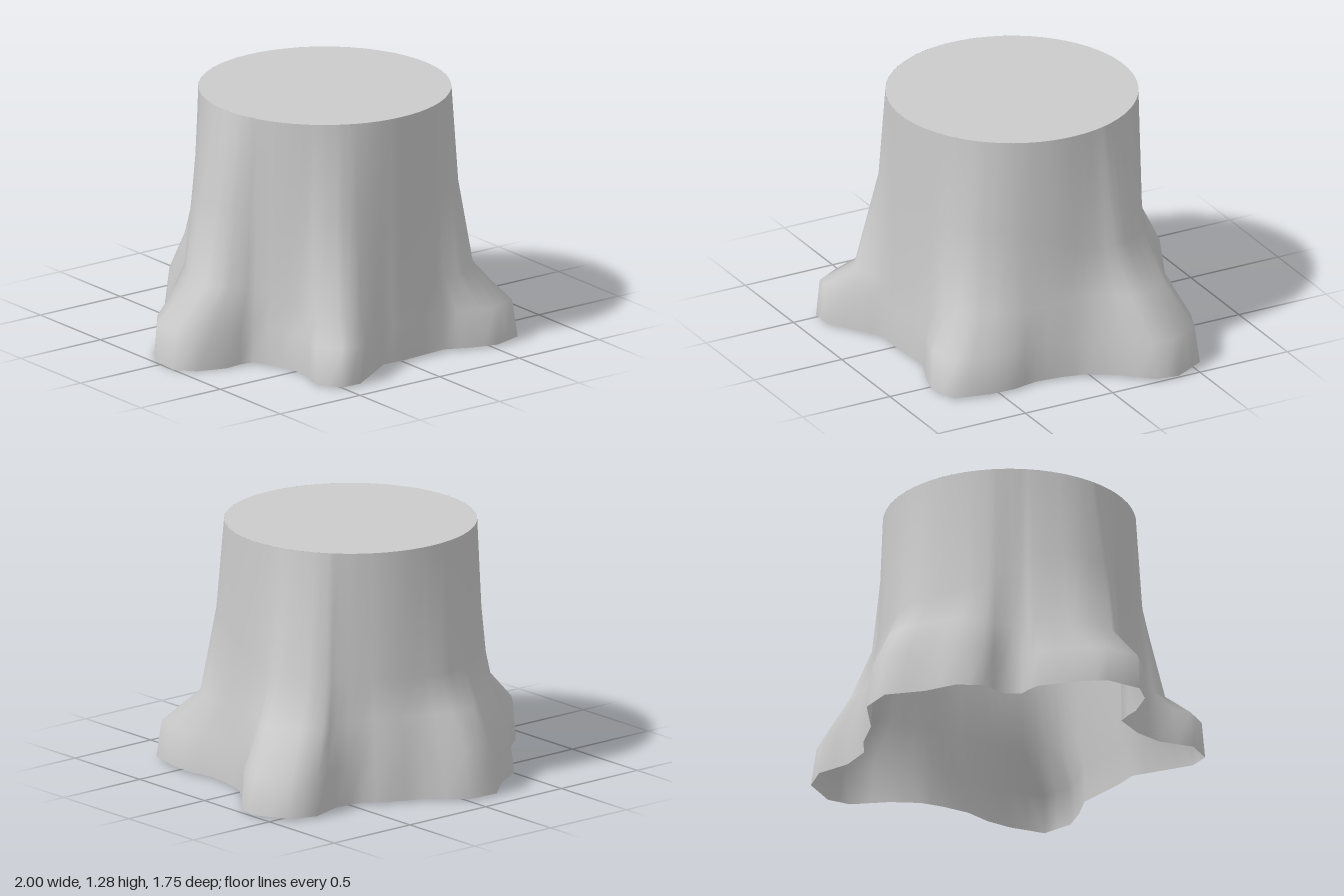
import * as THREE from 'three';

const TOP_Y = 1.28, RADIUS = 0.635, CX = 0.01, CZ = 0.03;

// Ground outline [x, z], counterclockwise from the front
const OUTLINE = [
  [0, 0.70], [0.27, 0.68], [0.40, 0.74], [0.53, 0.78], [0.69, 0.735], [0.735, 0.55], [0.74, 0.42],
  [0.715, 0.28], [0.73, 0.14], [0.76, 0.02], [0.84, -0.11], [0.98, -0.26], [1.0, -0.38], [0.91, -0.55],
  [0.77, -0.60], [0.60, -0.545], [0.44, -0.56], [0.33, -0.64], [0.17, -0.71], [-0.01, -0.865],
  [-0.18, -0.875], [-0.33, -0.74], [-0.485, -0.655], [-0.56, -0.54], [-0.54, -0.40], [-0.59, -0.325],
  [-0.73, -0.32], [-0.90, -0.18], [-0.985, -0.07], [-1.0, 0.11], [-0.92, 0.20], [-0.77, 0.25],
  [-0.62, 0.27], [-0.55, 0.42], [-0.53, 0.57], [-0.58, 0.74], [-0.51, 0.865], [-0.40, 0.87],
  [-0.24, 0.77], [-0.12, 0.695],
];

// Root flares: position, then [height, share of the flare left] at shoulder, knee and upper bend
const ROOTS = [
  { x: -0.98, z: 0.02, profile: [0.19, 0.95, 0.40, 0.43, 0.80, 0.24] },
  { x: 0.95, z: -0.42, profile: [0.20, 0.93, 0.41, 0.53, 0.65, 0.22] },
  { x: -0.10, z: -0.87, profile: [0.25, 0.85, 0.43, 0.50, 0.61, 0.15] },
  { x: -0.46, z: 0.87, profile: [0.20, 0.95, 0.30, 0.45, 0.80, 0.10] },
  { x: 0.62, z: 0.76, profile: [0.20, 0.92, 0.37, 0.35, 0.80, 0.12] },
];

// Blend of the flare profiles, nearest root counting most
function profileAt(x, z) {
  const sum = [0, 0, 0, 0, 0, 0];
  let total = 0;
  for (const root of ROOTS) {
    const w = 1 / (Math.hypot(x - root.x, z - root.z) ** 4 + 0.001);
    total += w;
    root.profile.forEach((v, i) => { sum[i] += v * w; });
  }
  return sum.map((v) => v / total);
}

// Bark wall: ground outline lofted up to the round cut
function barkGeometry() {
  const base = [];
  OUTLINE.forEach(([x, z], i) => {
    const [nx, nz] = OUTLINE[(i + 1) % OUTLINE.length];
    base.push([x, z], [(x + nx) / 2, (z + nz) / 2]);
  });
  const n = base.length, rows = 5;
  const positions = [], indices = [];
  base.forEach(([x, z]) => {
    const a = Math.atan2(z - CZ, x - CX);
    const tx = CX + RADIUS * Math.cos(a), tz = CZ + RADIUS * Math.sin(a);
    const p = profileAt(x, z);
    const ground = x < -0.72 ? 0 : 0.008;
    const steps = [[ground, 1], [p[0], p[1]], [p[2], p[3]], [p[4], p[5]], [TOP_Y, 0]];
    for (const [y, f] of steps) positions.push(tx + (x - tx) * f, y, tz + (z - tz) * f);
  });
  for (let i = 0; i < n; i++) {
    for (let r = 0; r < rows - 1; r++) {
      const a = i * rows + r, b = ((i + 1) % n) * rows + r;
      indices.push(a, b, b + 1, a, b + 1, a + 1);
    }
  }
  const geometry = new THREE.BufferGeometry();
  geometry.setAttribute('position', new THREE.Float32BufferAttribute(positions, 3));
  geometry.setIndex(indices);
  geometry.computeVertexNormals();
  return geometry;
}

export function createModel() {
  const group = new THREE.Group();
  group.name = 'treeStump';
  const material = new THREE.MeshStandardMaterial({ color: 0xcccccc, side: THREE.DoubleSide });

  const bark = new THREE.Mesh(barkGeometry(), material);
  bark.name = 'barkAndRoots';
  group.add(bark);

  // Flat sawn top; the underside stays open
  const cut = new THREE.Mesh(new THREE.CircleGeometry(RADIUS, 64).rotateX(-Math.PI / 2), material);
  cut.name = 'sawnTop';
  cut.position.set(CX, TOP_Y, CZ);
  group.add(cut);

  return group;
}
